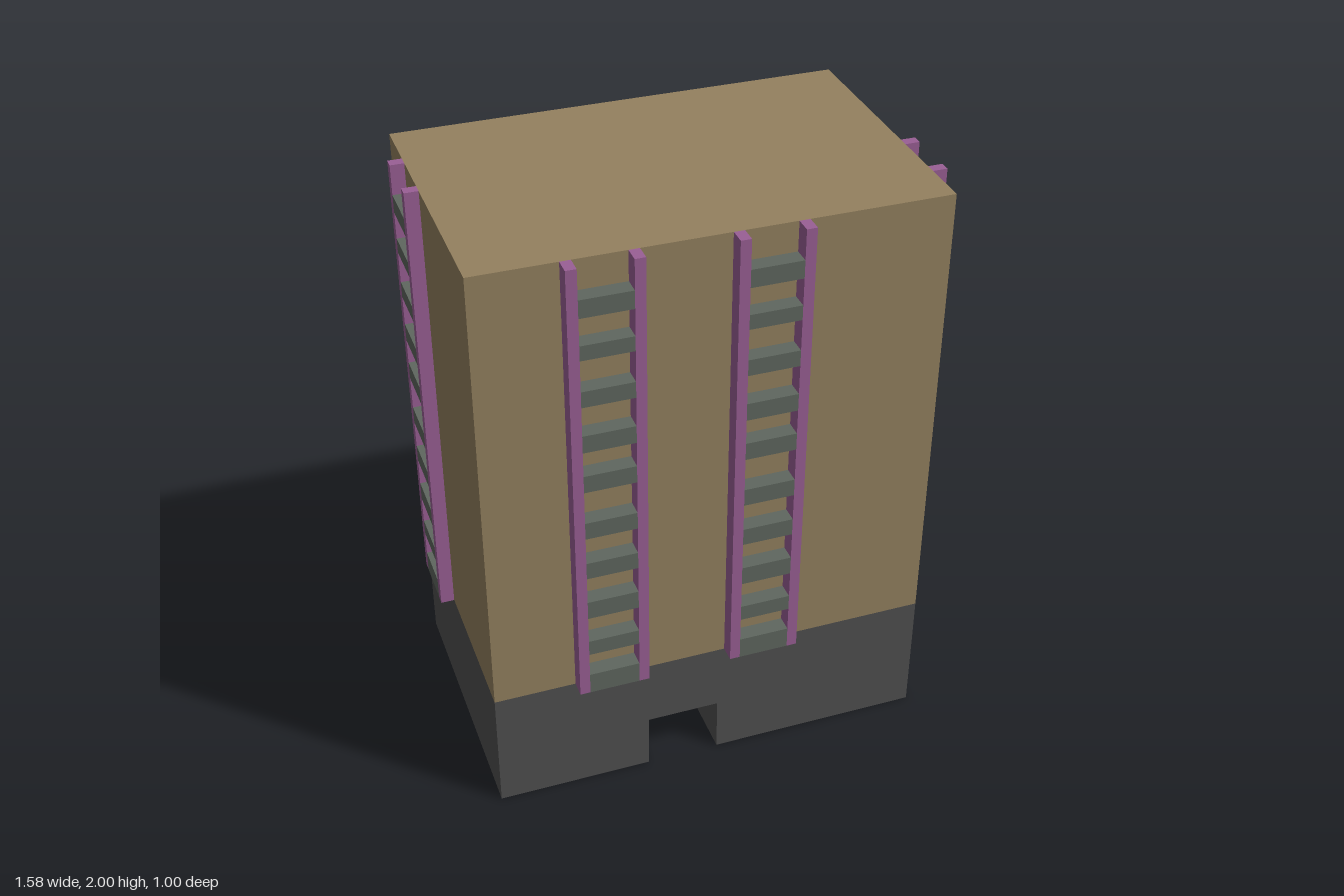
import * as THREE from 'three';

const material = (color) => new THREE.MeshStandardMaterial({ color, flatShading: true });
const tan = material(0x94815f);
const dark = material(0x505050);
const purple = material(0x9a5f95);
const greyGreen = material(0x5f675f);

const BASE_TOP = 0.435, TOP = 2;
const LEFT = 0.74, RIGHT = -0.745, FRONT = 0.445, BACK = -0.5;

// Box spanning two opposite corners
function block(name, mat, [x0, y0, z0], [x1, y1, z1]) {
  const mesh = new THREE.Mesh(new THREE.BoxGeometry(x1 - x0, y1 - y0, z1 - z0), mat);
  mesh.position.set((x0 + x1) / 2, (y0 + y1) / 2, (z0 + z1) / 2);
  mesh.name = name;
  return mesh;
}

// Bottom and top height of each rung
const RUNGS = [
  [0.435, 0.51], [0.595, 0.65], [0.745, 0.81], [0.905, 0.965], [1.06, 1.12],
  [1.235, 1.295], [1.38, 1.44], [1.54, 1.595], [1.7, 1.75], [1.84, 1.9],
];

// Ladder-like strip standing out along local +z from the wall at z = 0
function ladder(name, width, depth) {
  const group = new THREE.Group();
  group.name = name;
  const half = width / 2, inner = half - 0.034;
  group.add(block('rail', purple, [-half, BASE_TOP, 0], [-inner, TOP, depth]));
  group.add(block('rail', purple, [inner, BASE_TOP, 0], [half, TOP, depth]));
  for (const [y0, y1] of RUNGS) {
    group.add(block('rung', greyGreen, [-inner, y0, 0], [inner, y1, depth]));
  }
  return group;
}

export function createModel() {
  const model = new THREE.Group();
  model.name = 'building';

  // Dark base with a passage running front to back
  const outline = new THREE.Shape([
    [RIGHT, 0], [-0.225, 0], [-0.225, 0.195], [0.02, 0.195], [0.02, 0],
    [LEFT, 0], [LEFT, BASE_TOP], [RIGHT, BASE_TOP],
  ].map(([x, y]) => new THREE.Vector2(x, y)));
  const base = new THREE.Mesh(
    new THREE.ExtrudeGeometry(outline, { depth: FRONT - BACK, bevelEnabled: false }), dark);
  base.position.z = BACK;
  base.name = 'base';
  model.add(base);

  // Upper block
  model.add(block('upperBlock', tan, [RIGHT, BASE_TOP, BACK], [LEFT, TOP, FRONT]));

  // Two ladders on the front, one on each side wall
  const place = (part, x, z, turn) => {
    part.position.set(x, 0, z);
    part.rotation.y = turn;
    model.add(part);
  };
  place(ladder('frontRightLadder', 0.235, 0.055), -0.357, FRONT, 0);
  place(ladder('frontLeftLadder', 0.235, 0.055), 0.158, FRONT, 0);
  place(ladder('leftLadder', 0.226, 0.048), LEFT, 0.175, Math.PI / 2);
  place(ladder('rightLadder', 0.226, 0.045), RIGHT, -0.207, -Math.PI / 2);

  return model;
}
